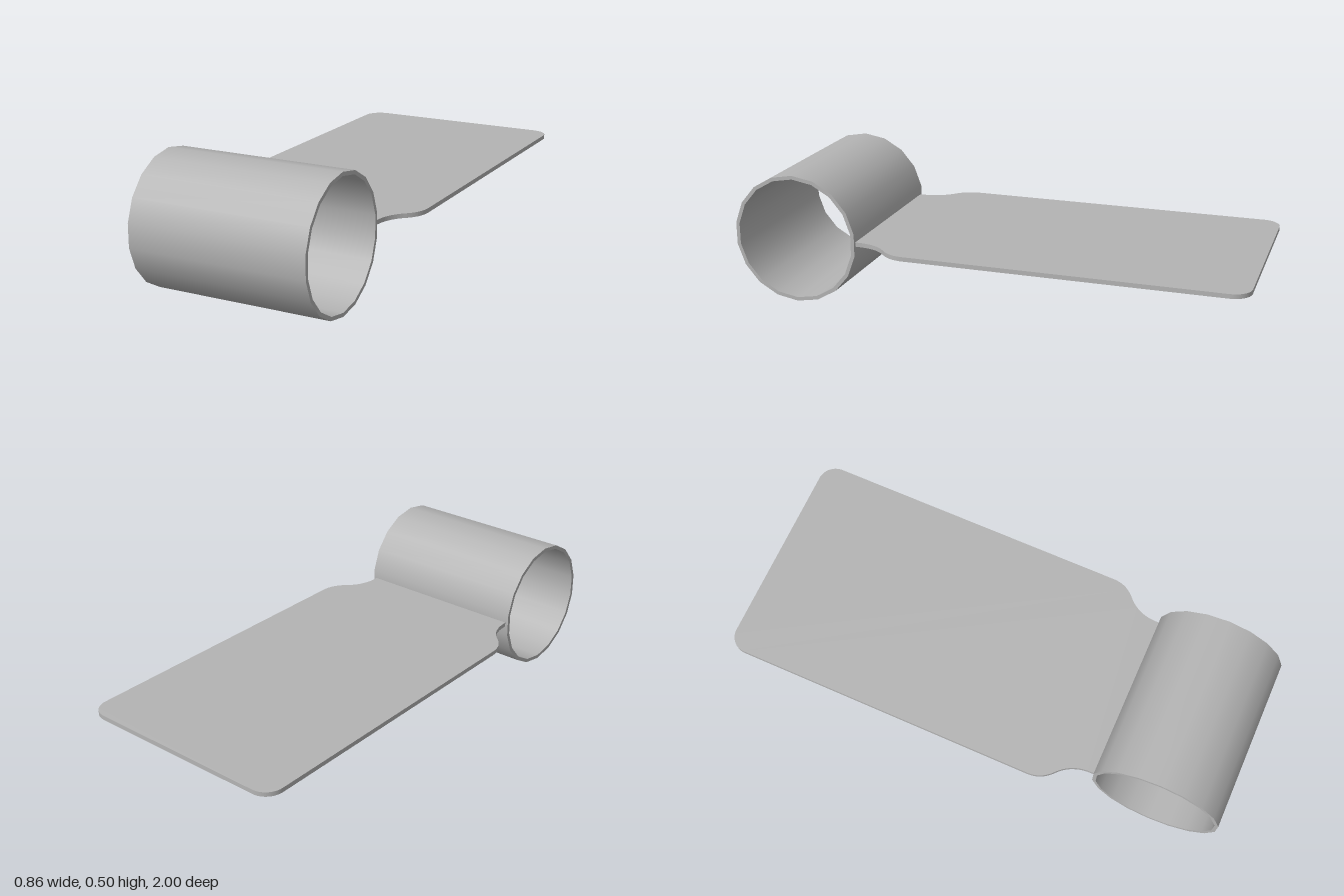
import * as THREE from 'three';
import { mergeGeometries } from 'three/addons/utils/BufferGeometryUtils.js';

const HALF_LENGTH = 0.344, OUTER = 0.2525, INNER = 0.238, SIDES = 18;
const PLATE_Y = 0.245, PLATE_T = 0.017;

// Open tube: outer wall, end ring, inner wall, end ring, each with its own normals
function tubeGeometry() {
  const h = HALF_LENGTH;
  const profile = [[OUTER, -h], [OUTER, h], [INNER, h], [INNER, -h]].map(p => new THREE.Vector2(...p));
  const walls = profile.map((p, i) =>
    new THREE.LatheGeometry([p, profile[(i + 1) % 4]], SIDES, Math.PI / 2));
  return mergeGeometries(walls).rotateZ(-Math.PI / 2);
}

// Flat plate with rounded far corners and a curved neck towards the tube
function plateGeometry() {
  const w = 0.432, r = 0.07, neck = 0.332, end = 0.513;
  const s = new THREE.Shape();
  s.moveTo(-w + r, -1);
  s.lineTo(w - r, -1);
  s.absarc(w - r, -1 + r, r, -Math.PI / 2, 0);
  s.lineTo(w, 0.27);
  s.bezierCurveTo(w, 0.315, 0.412, 0.345, 0.382, 0.37);
  s.bezierCurveTo(0.35, 0.4, neck, 0.44, neck, 0.49);
  s.lineTo(neck, end);
  s.lineTo(-neck, end);
  s.lineTo(-neck, 0.49);
  s.bezierCurveTo(-neck, 0.44, -0.35, 0.4, -0.382, 0.37);
  s.bezierCurveTo(-0.412, 0.345, -w, 0.315, -w, 0.27);
  s.lineTo(-w, -1 + r);
  s.absarc(-w + r, -1 + r, r, Math.PI, Math.PI * 1.5);
  return new THREE.ExtrudeGeometry(s, { depth: PLATE_T, bevelEnabled: false, curveSegments: 10 })
    .rotateX(Math.PI / 2);
}

export function createModel() {
  const group = new THREE.Group();
  const grey = new THREE.MeshStandardMaterial({ color: 0xb4b4b4 });
  grey.name = 'grey';

  const tube = new THREE.Mesh(tubeGeometry(), grey);
  tube.name = 'tube';
  tube.position.set(0, OUTER, 1 - OUTER * Math.cos(Math.PI / SIDES));

  const plate = new THREE.Mesh(plateGeometry(), grey);
  plate.name = 'plate';
  plate.position.y = PLATE_Y + PLATE_T;

  group.add(tube, plate);
  return group;
}
